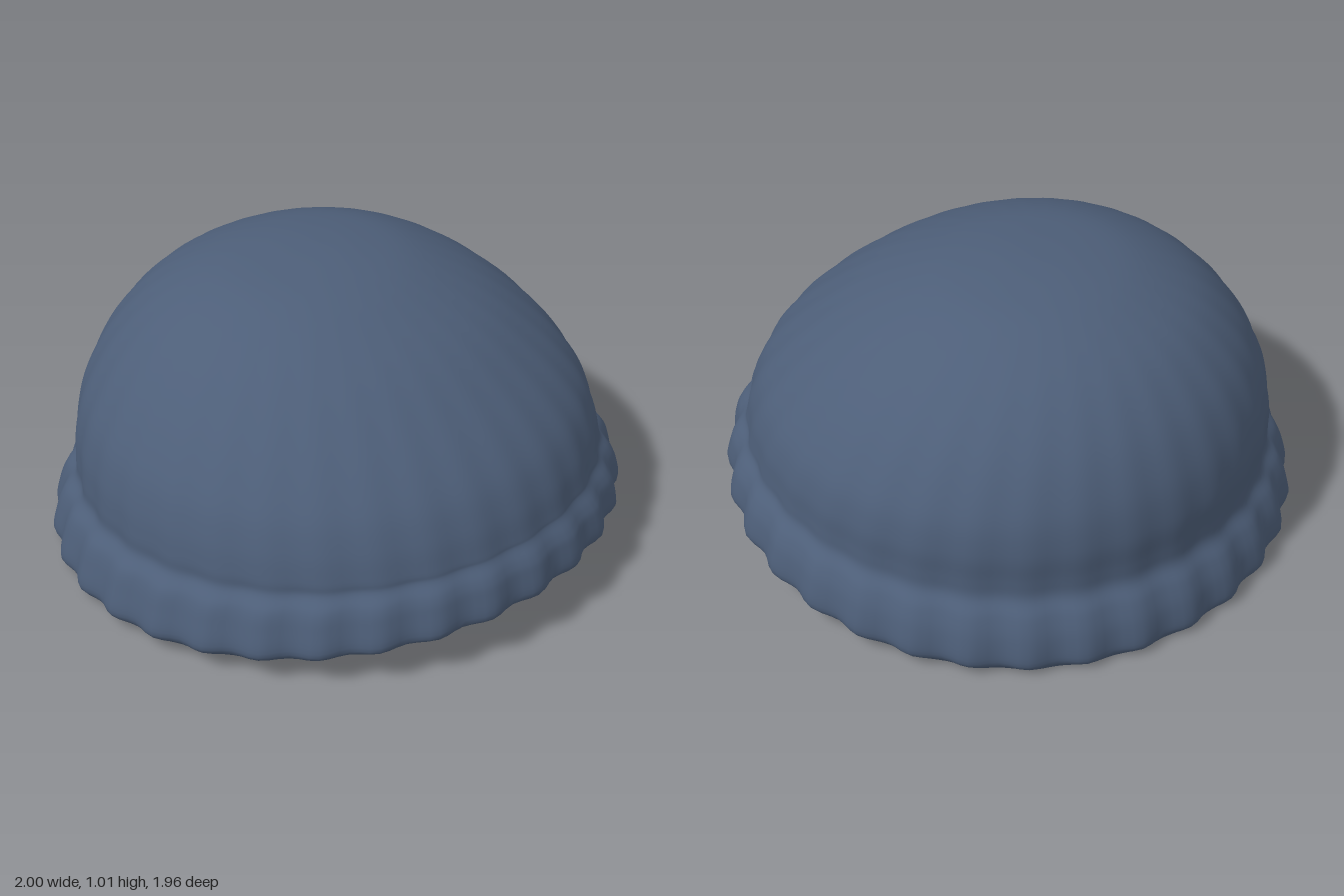
import * as THREE from 'three';

const RIBS = 32;
const SEGMENTS = RIBS * 6;
const ROWS = 60;

// Rings from the rim to the crown: [xRight, xLeft, zBack, zFront, yFront, yBack, ySide, ribDepth]
const RINGS = [
  [-0.955, 0.955, -0.95, 0.93, 0.155, 0.0, 0.032, 0.01],
  [-1.0, 1.0, -0.975, 0.98, 0.185, 0.035, 0.08, 0.024],
  [-0.98, 0.985, -0.96, 0.965, 0.27, 0.12, 0.17, 0.02],
  [-0.955, 0.955, -0.93, 0.945, 0.31, 0.19, 0.235, 0.018],
  [-0.912, 0.915, -0.89, 0.915, 0.345, 0.245, 0.28, 0.012],
  [-0.905, 0.907, -0.885, 0.905, 0.37, 0.31, 0.34, 0.009],
  [-0.885, 0.902, -0.885, 0.875, 0.46, 0.43, 0.44, 0.008],
  [-0.835, 0.865, -0.85, 0.81, 0.57, 0.58, 0.56, 0.007],
  [-0.715, 0.755, -0.77, 0.68, 0.7, 0.73, 0.72, 0.006],
  [-0.55, 0.59, -0.635, 0.485, 0.845, 0.865, 0.863, 0.004],
  [-0.34, 0.39, -0.45, 0.24, 0.958, 0.96, 0.965, 0.002],
  [-0.13, 0.21, -0.28, 0.04, 1.002, 1.0, 1.0, 0],
  [0.05, 0.05, -0.12, -0.12, 1.01, 1.01, 1.01, 0],
];

// One smooth curve per ring measurement
const curves = RINGS[0].map((_, c) =>
  new THREE.SplineCurve(RINGS.map((ring, i) => new THREE.Vector2(i, ring[c]))));

function capGeometry() {
  const positions = [];
  const indices = [];
  for (let row = 0; row < ROWS; row++) {
    const [xr, xl, zb, zf, yf, yb, ys, depth] = curves.map((c) => c.getPoint(row / ROWS).y);
    for (let s = 0; s < SEGMENTS; s++) {
      const a = (s / SEGMENTS) * Math.PI * 2;
      const sin = Math.sin(a);
      const cos = Math.cos(a);
      // Knitted ribs pull the ring inward between peaks
      const rib = 1 - depth * (0.5 - 0.5 * Math.cos(a * RIBS));
      positions.push(
        (xl + xr) / 2 + ((xl - xr) / 2) * sin * rib,
        ys + ((yf - yb) / 2) * cos + ((yf + yb) / 2 - ys) * cos * cos,
        (zf + zb) / 2 + ((zf - zb) / 2) * cos * rib,
      );
    }
  }
  const apex = ROWS * SEGMENTS;
  positions.push(0.05, 1.01, -0.12);
  for (let row = 0; row < ROWS; row++) {
    for (let s = 0; s < SEGMENTS; s++) {
      const next = (s + 1) % SEGMENTS;
      const a = row * SEGMENTS + s;
      const b = row * SEGMENTS + next;
      if (row === ROWS - 1) indices.push(a, b, apex);
      else indices.push(a, b, b + SEGMENTS, a, b + SEGMENTS, a + SEGMENTS);
    }
  }
  const geometry = new THREE.BufferGeometry();
  geometry.setAttribute('position', new THREE.Float32BufferAttribute(positions, 3));
  geometry.setIndex(indices);
  geometry.computeVertexNormals();
  return geometry;
}

export function createModel() {
  const wool = new THREE.MeshStandardMaterial({ color: 0x4d5e78, side: THREE.DoubleSide });
  wool.name = 'slate blue wool';

  // Slouched dome with a rolled, ribbed cuff, open underneath
  const cap = new THREE.Mesh(capGeometry(), wool);
  cap.name = 'knitCap';

  const group = new THREE.Group();
  group.name = 'woolHat';
  group.add(cap);
  return group;
}
